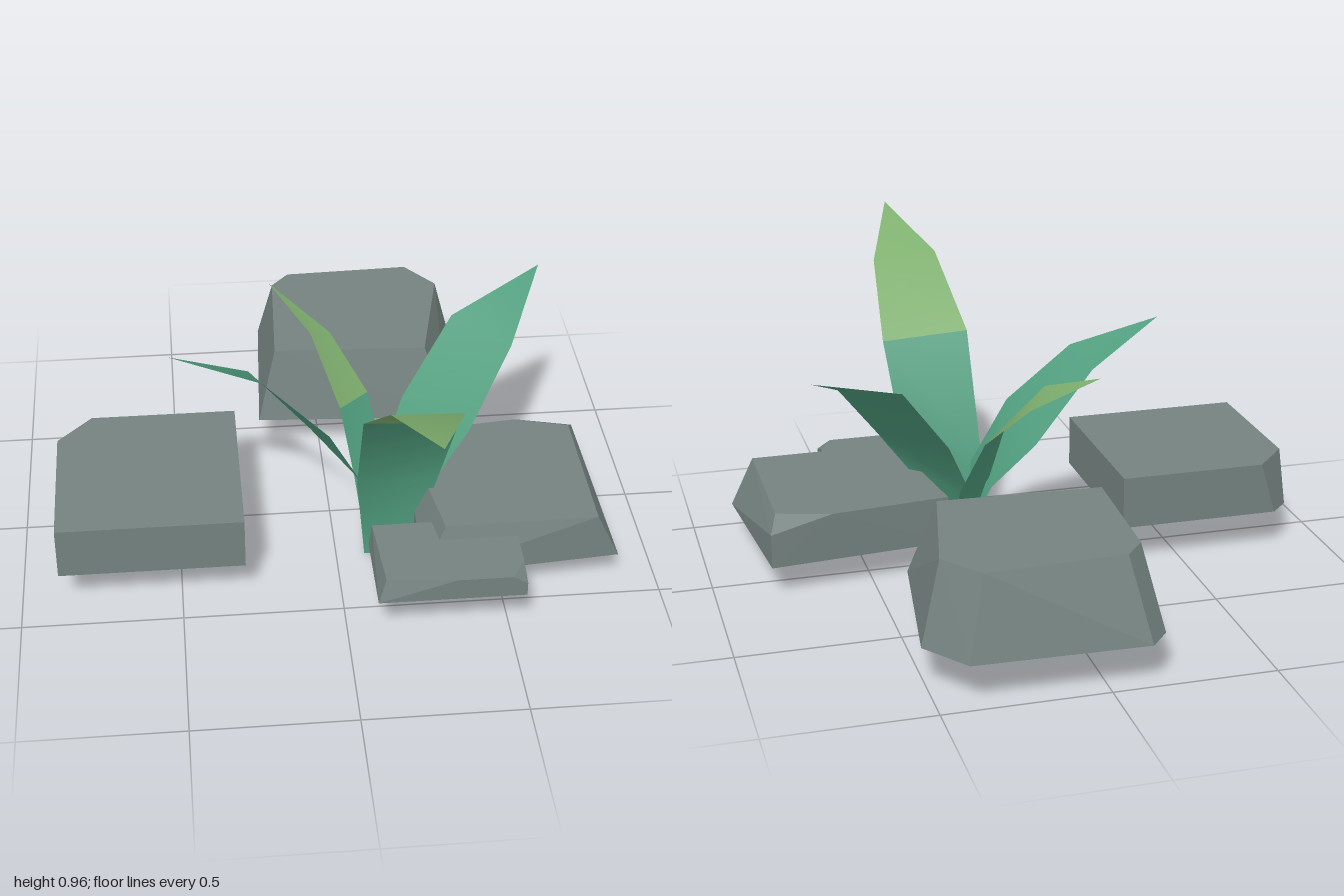
import * as THREE from 'three';
import { ConvexGeometry } from 'three/addons/geometries/ConvexGeometry.js';

const mat = (name, color, side = THREE.FrontSide) =>
  Object.assign(new THREE.MeshStandardMaterial({ color, side }), { name });

// Faceted rock: convex hull of a base outline [x, z] at y0 and a top outline [x, z, y?] at y1
function rock(name, material, y0, base, y1, top) {
  const pts = [
    ...base.map(([x, z]) => new THREE.Vector3(x, y0, z)),
    ...top.map(([x, z, y = y1]) => new THREE.Vector3(x, y, z)),
  ];
  const mesh = new THREE.Mesh(new ConvexGeometry(pts), material);
  mesh.name = name;
  return mesh;
}

// Leaf: rows of [left xyz, right xyz] from the base up, closed by a tip point.
// Segments from tipRow upward use the second material.
function leaf(name, materials, rows, tip, tipRow = rows.length) {
  const pos = [], index = [];
  rows.forEach(([l, r]) => pos.push(...l, ...r));
  pos.push(...tip);
  for (let i = 0; i < rows.length - 1; i++) {
    const a = i * 2;
    index.push(a, a + 1, a + 3, a, a + 3, a + 2);
  }
  const n = rows.length * 2;
  index.push(n - 2, n - 1, n);
  const geo = new THREE.BufferGeometry();
  geo.setAttribute('position', new THREE.Float32BufferAttribute(pos, 3));
  geo.setIndex(index);
  geo.computeVertexNormals();
  const split = Math.min(tipRow * 6, index.length);
  geo.addGroup(0, split, 0);
  if (split < index.length) geo.addGroup(split, index.length - split, 1);
  const mesh = new THREE.Mesh(geo, materials);
  mesh.name = name;
  return mesh;
}

export function createModel() {
  const stone = mat('stone', 0x74827f);
  const leaves = [
    mat('leafGreen', 0x4f9c7d, THREE.DoubleSide),
    mat('leafTipGreen', 0x7fb06f, THREE.DoubleSide),
  ];
  const model = new THREE.Group();
  model.name = 'plantWithRocks';

  // Rocks
  const rocks = new THREE.Group();
  rocks.name = 'rocks';
  rocks.add(
    rock('rightRock', stone,
      0.13, [[-0.88, 0.42], [-0.3, 0.42], [-0.3, -0.18], [-0.82, -0.18], [-0.88, -0.12]],
      0.3, [[-0.88, 0.42], [-0.3, 0.42], [-0.3, -0.18], [-0.77, -0.18], [-0.88, -0.06]]),
    rock('backRock', stone,
      0.13, [[-0.21, -0.36], [0.44, -0.32], [0.515, -0.84], [0.41, -0.985], [-0.12, -1], [-0.18, -0.93]],
      0.378, [[-0.15, -0.41], [0.36, -0.385], [0.45, -0.8], [0.355, -0.925], [-0.07, -0.91], [-0.13, -0.84]]),
    rock('leftRock', stone,
      0.1, [[0.875, 0.435], [0.25, 0.49], [0.245, -0.07], [0.825, -0.125]],
      0.255, [[0.8, 0.435], [0.32, 0.44], [0.25, -0.07], [0.63, -0.11], [0.8, -0.06], [0.825, -0.125, 0.21]]),
    rock('frontRock', stone,
      0.14, [[0.09, 0.65], [0.545, 0.65], [0.545, 0.36], [0.09, 0.36]],
      0.212, [[0.115, 0.63], [0.33, 0.65], [0.5, 0.65], [0.545, 0.57], [0.545, 0.36], [0.1, 0.36], [0.545, 0.65, 0.185]]),
  );

  // Leaves spreading from one root
  const plant = new THREE.Group();
  plant.name = 'plant';
  plant.add(
    leaf('frontLeaf', leaves, [
      [[0.09, 0.01, 0.245], [0.23, 0, 0.25]],
      [[0.065, 0.29, 0.24], [0.32, 0.29, 0.24]],
      [[0.063, 0.645, 0.42], [0.35, 0.63, 0.42]],
      [[0.11, 0.855, 0.68], [0.325, 0.84, 0.67]],
    ], [0.215, 0.96, 1], 2),
    leaf('leftLeaf', leaves, [
      [[0.14, 0.01, 0.16], [0.23, 0, 0.22]],
      [[0.14, 0.2, 0.09], [0.3, 0.23, 0.205]],
      [[0.24, 0.41, -0.05], [0.43, 0.41, 0.155]],
      [[0.41, 0.645, -0.16], [0.58, 0.62, 0]],
    ], [0.71, 0.745, -0.285]),
    leaf('rightLeaf', leaves, [
      [[0.13, 0.01, 0.16], [0.09, 0.01, 0.24]],
      [[0.07, 0.21, 0.08], [0.1, 0.25, 0.23]],
      [[-0.065, 0.36, 0.03], [-0.02, 0.46, 0.22]],
      [[-0.26, 0.6, 0.04], [-0.225, 0.645, 0.18]],
    ], [-0.51, 0.73, 0.135]),
    leaf('backLeaf', leaves, [
      [[0.1, 0.01, 0.19], [0.19, 0.01, 0.16]],
      [[0.07, 0.22, 0.12], [0.18, 0.21, 0.06]],
      [[0.03, 0.44, 0.04], [0.13, 0.42, -0.075]],
      [[-0.05, 0.62, -0.13], [0.02, 0.57, -0.21]],
    ], [-0.17, 0.697, -0.325], 2),
  );

  model.add(rocks, plant);
  return model;
}
